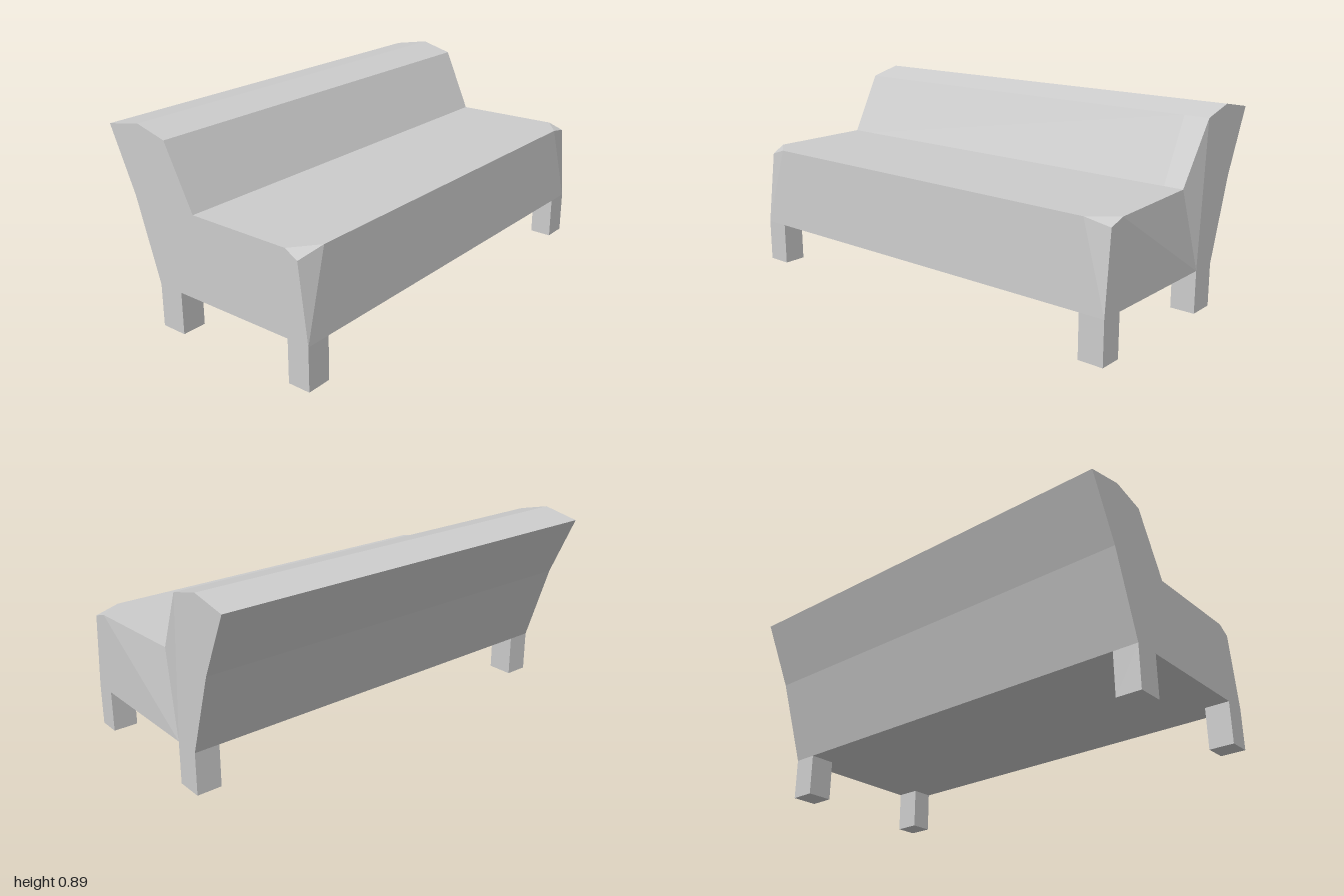
import * as THREE from 'three';

const BASE = 0.195, SEAT = 0.57, INNER = 0.885;

// Side profile as [z, y]: up the front, over the seat and backrest, down the back
const profile = [
  [0.54, BASE], [0.525, SEAT], [0.435, SEAT], [-0.06, SEAT], [-0.205, 0.85],
  [-0.36, 0.89], [-0.54, 0.857], [-0.41, SEAT], [-0.29, BASE], [-0.165, BASE],
];

// One cross-section; the ends have a clipped front corner
function section(x, corner, seatBackX = x) {
  return profile.map(([z, y], j) => {
    if (j === 1 && corner) return [x, corner[1], corner[0]];
    return [j === 3 ? seatBackX : x, y, z];
  });
}

function bodyGeometry() {
  const s = [
    section(-1, [0.495, 0.535]), section(-INNER), section(INNER), section(1, [0.51, 0.545], 0.975),
  ];
  const n = profile.length, hub = n - 1, pos = [];
  const tri = (...points) => points.forEach((p) => pos.push(...p));
  // Skin between neighbouring sections
  for (let i = 0; i < 3; i++) {
    for (let j = 0; j < n; j++) {
      const k = (j + 1) % n;
      const a = s[i][j], b = s[i + 1][j], c = s[i + 1][k], d = s[i][k];
      if ((i === 0) === (j === 0)) { tri(a, b, c); tri(a, c, d); }
      else { tri(a, b, d); tri(b, c, d); }
    }
  }
  // End panels
  for (let j = 0; j < hub - 1; j++) {
    tri(s[0][hub], s[0][j], s[0][j + 1]);
    tri(s[3][hub], s[3][j + 1], s[3][j]);
  }
  const g = new THREE.BufferGeometry();
  g.setAttribute('position', new THREE.Float32BufferAttribute(pos, 3));
  g.computeVertexNormals();
  return g;
}

export function createModel() {
  const model = new THREE.Group();
  model.name = 'sofa';
  const grey = new THREE.MeshStandardMaterial({ color: 0xcccccc });
  grey.name = 'light grey';

  const body = new THREE.Mesh(bodyGeometry(), grey);
  body.name = 'seatAndBackrest';
  model.add(body);

  // Four square legs
  for (const [end, z0, z1] of [['front', 0.435, 0.54], ['back', -0.29, -0.165]]) {
    for (const side of [-1, 1]) {
      const leg = new THREE.Mesh(new THREE.BoxGeometry(1 - INNER, BASE, z1 - z0), grey);
      leg.name = end + (side > 0 ? 'LeftLeg' : 'RightLeg');
      leg.position.set(side * (1 + INNER) / 2, BASE / 2, (z0 + z1) / 2);
      model.add(leg);
    }
  }
  return model;
}
